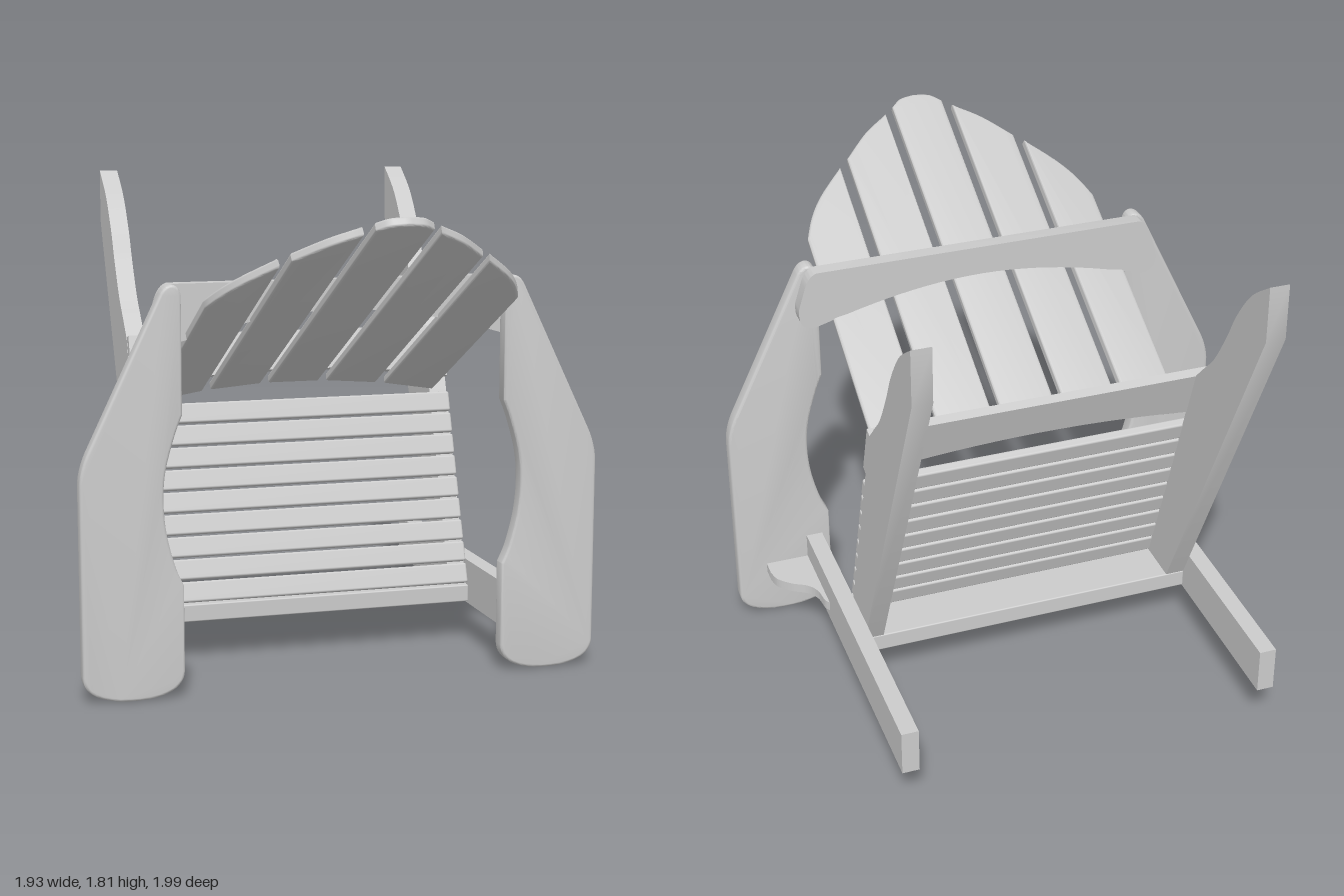
import * as THREE from 'three';
import { toCreasedNormals } from 'three/addons/utils/BufferGeometryUtils.js';
import { RoundedBoxGeometry } from 'three/addons/geometries/RoundedBoxGeometry.js';

const mat = new THREE.MeshStandardMaterial({ color: 0xcccccc });
const CX = -0.006; // frame centre, slightly off the arms' centre

// Plate of a given total thickness, centred on z = 0, with softened edges
function plate(shape, thickness, bevel = 0) {
  const geo = new THREE.ExtrudeGeometry(shape, {
    depth: thickness - 2 * bevel, curveSegments: 16, bevelEnabled: bevel > 0,
    bevelSize: bevel, bevelThickness: bevel, bevelOffset: -bevel, bevelSegments: 3,
  });
  geo.translate(0, 0, bevel - thickness / 2);
  return toCreasedNormals(geo, 0.6);
}

function add(parent, name, geo, x = 0, y = 0, z = 0) {
  const mesh = new THREE.Mesh(geo, mat);
  mesh.name = name;
  mesh.position.set(x, y, z);
  parent.add(mesh);
  return mesh;
}

const vecs = (pts) => pts.map(([a, b]) => new THREE.Vector2(a, b));

function armShape(s) {
  const p = new THREE.Shape();
  p.moveTo(s * 0.598, 0.1);
  p.bezierCurveTo(s * 0.6, 0.03, s * 0.68, 0.002, s * 0.78, 0.002);
  p.bezierCurveTo(s * 0.88, 0.002, s * 0.965, 0.03, s * 0.965, 0.1);
  p.lineTo(s * 0.965, 0.79);
  p.quadraticCurveTo(s * 0.96, 0.85, s * 0.93, 0.91);
  p.lineTo(s * 0.672, 1.445);
  p.quadraticCurveTo(s * 0.655, 1.476, s * 0.63, 1.476);
  p.quadraticCurveTo(s * 0.605, 1.474, s * 0.598, 1.44);
  p.lineTo(s * 0.598, 1.02);
  p.splineThru(vecs([[s * 0.625, 0.95], [s * 0.658, 0.83], [s * 0.668, 0.72],
    [s * 0.658, 0.6], [s * 0.628, 0.48], [s * 0.598, 0.41]]));
  p.closePath();
  return p;
}

function bracketShape(s) {
  const p = new THREE.Shape();
  p.moveTo(0, 0.236);
  p.lineTo(0, -0.085);
  p.splineThru(vecs([[s * 0.013, -0.06], [s * 0.022, 0], [s * 0.05, 0.045],
    [s * 0.105, 0.08], [s * 0.148, 0.125], [s * 0.162, 0.175]]));
  p.lineTo(s * 0.162, 0.236);
  p.closePath();
  return p;
}

// Sitting surface of the seat: z for a given y
const seatZ = (y) => (y < 0.64 ? -0.13 - 0.35 * (y - 0.235) : -0.272 - 0.337 * (y - 0.64));

// Long sloping side rail, drawn in (z, y)
function railShape() {
  const p = new THREE.Shape();
  const inset = 0.034;
  p.moveTo(seatZ(0.225) - inset, 0.225);
  p.lineTo(seatZ(0.64) - inset, 0.64);
  p.lineTo(seatZ(1.195) - inset, 1.195);
  p.splineThru(vecs([[-0.56, 1.265], [-0.635, 1.345], [-0.716, 1.473],
    [-0.78, 1.59], [-0.877, 1.715], [-1, 1.808]]));
  p.lineTo(-1, 1.607);
  p.lineTo(-0.337, 0.225);
  p.closePath();
  return p;
}

// Length of the back panel at a distance from its middle
const crown = new THREE.SplineCurve(vecs([[0, 1.557], [0.06, 1.545], [0.1, 1.51], [0.14, 1.478],
  [0.235, 1.41], [0.336, 1.305], [0.373, 1.27], [0.47, 1.17], [0.53, 1.08], [0.575, 0.97]]));
const crownPoints = crown.getPoints(120);
function backLength(x) {
  const i = Math.max(1, crownPoints.findIndex((q) => q.x >= Math.abs(x)));
  const a = crownPoints[i - 1], b = crownPoints[i];
  return a.y + (b.y - a.y) * (Math.abs(x) - a.x) / (b.x - a.x);
}

export function createModel() {
  const model = new THREE.Group();
  model.name = 'slattedGardenChair';
  const frame = new THREE.Group();
  frame.name = 'frame';
  frame.position.x = CX;
  model.add(frame);

  for (const s of [1, -1]) {
    const side = s > 0 ? 'left' : 'right';
    add(model, side + 'Arm', plate(armShape(s), 0.06, 0.01), 0, 0, 0.265);
    add(frame, side + 'FrontLeg', new THREE.BoxGeometry(0.062, 0.17, 1.236), s * 0.667, 0.235, -0.382);
    const rail = plate(railShape(), 0.07).rotateY(-Math.PI / 2);
    add(frame, side + 'SeatRail', rail, s * 0.598, 0, 0);
    const bracket = plate(bracketShape(s), 0.036).rotateX(Math.PI / 2);
    add(frame, side + 'ArmBracket', bracket, s * 0.698, 0.208, 0);
  }

  // Apron between the front legs
  add(frame, 'apron', new RoundedBoxGeometry(1.27, 0.066, 0.2, 2, 0.005), 0, 0.192, -0.238);

  // Seat slats following the rails
  const pitch = 0.0805;
  for (let i = 0; i < 9; i++) {
    const y0 = 0.238 + i * pitch, y1 = y0 + pitch - 0.008;
    const dz = seatZ(y1) - seatZ(y0);
    const geo = new RoundedBoxGeometry(1.264, Math.hypot(y1 - y0, dz), 0.036, 2, 0.008);
    geo.translate(0, 0, -0.018);
    const slat = add(frame, 'seatSlat' + (i + 1), geo, 0, (y0 + y1) / 2, (seatZ(y0) + seatZ(y1)) / 2);
    slat.rotation.x = Math.atan2(dz, y1 - y0);
  }

  // Lower back support, its lower edge arched to take the back slats
  const lower = new THREE.Shape();
  lower.moveTo(-0.632, 0.01);
  lower.quadraticCurveTo(0, 0.115, 0.632, 0.01);
  lower.lineTo(0.632, 0.215);
  lower.lineTo(-0.632, 0.215);
  lower.closePath();
  const support = add(frame, 'lowerBackSupport', plate(lower, 0.036).translate(0, 0, -0.018), 0, 1.005, seatZ(1.005));
  support.rotation.x = -Math.atan(0.337);

  // Upper back support joining the arms
  const upper = new THREE.Shape();
  upper.moveTo(-0.62, 1.474);
  upper.quadraticCurveTo(-0.65, 1.465, -0.665, 1.42);
  upper.lineTo(-0.69, 1.34);
  upper.quadraticCurveTo(-0.7, 1.25, -0.63, 1.257);
  upper.bezierCurveTo(-0.56, 1.275, -0.3, 1.365, 0, 1.365);
  upper.bezierCurveTo(0.3, 1.365, 0.56, 1.275, 0.63, 1.257);
  upper.quadraticCurveTo(0.7, 1.25, 0.69, 1.34);
  upper.lineTo(0.665, 1.42);
  upper.quadraticCurveTo(0.65, 1.465, 0.62, 1.474);
  upper.closePath();
  add(frame, 'upperBackSupport', plate(upper, 0.056), 0, 0, 0.208);

  // Fan of back slats, gently dished and with a rounded crown
  const back = new THREE.Group();
  back.name = 'back';
  back.position.set(0, 1.03, -0.4);
  back.rotation.x = 1.103;
  frame.add(back);
  for (let i = -2; i <= 2; i++) {
    const cx = i * 0.2325, half = 0.1;
    const outline = [[-half, 0], [half, 0]];
    for (let k = 0; k <= 16; k++) {
      const x = half - k * half / 8;
      outline.push([x, backLength(cx + x)]);
    }
    const slat = add(back, 'backSlat' + (i + 3), plate(new THREE.Shape(vecs(outline)), 0.034, 0.009),
      cx, 0, 0.178 * cx * cx);
    slat.rotation.y = -0.357 * cx;
  }
  return model;
}
